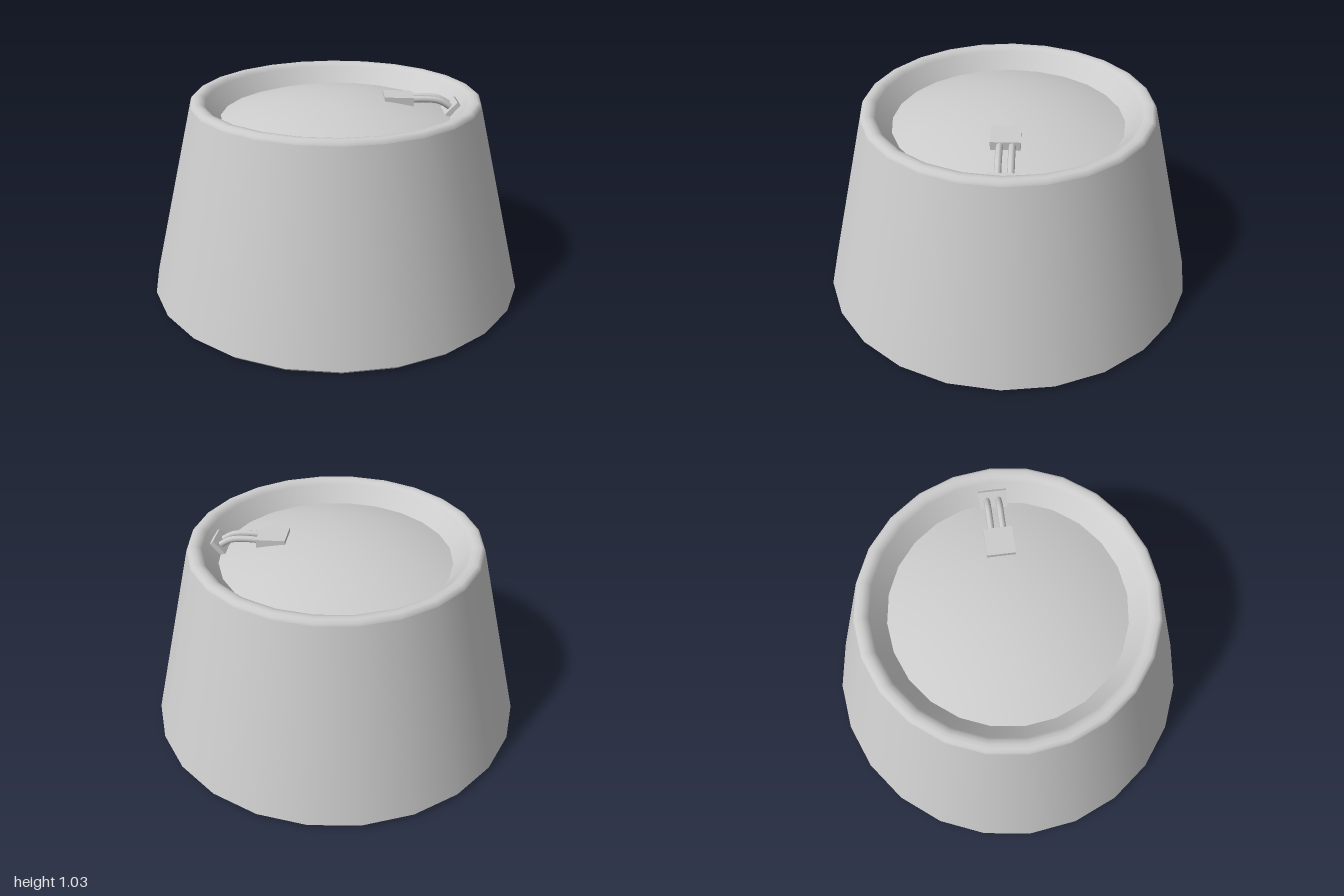
import * as THREE from 'three';

const SIDES = 24;

export function createModel() {
  const model = new THREE.Group();
  const grey = new THREE.MeshStandardMaterial({ color: 0xcccccc });
  grey.name = 'grey';

  const add = (parent, name, geometry) => {
    const mesh = new THREE.Mesh(geometry, grey);
    mesh.name = name;
    parent.add(mesh);
    return mesh;
  };
  const lathe = (points) =>
    new THREE.LatheGeometry(points.map(([r, y]) => new THREE.Vector2(r, y)), SIDES);

  // Tapered shell: recessed underside, bottom lip, outer wall, rounded top lip, recess
  add(model, 'bottomRecess', lathe([[0.8, 0.16], [0.92, 0.025]]));
  add(model, 'bottomLip', lathe([[0.92, 0.025], [0.932, 0.008], [0.955, 0], [0.98, 0], [1, 0.02]]));
  add(model, 'outerWall', lathe([[1, 0.02], [0.752, 1.012]]));
  add(model, 'topLip', lathe([
    [0.752, 1.012], [0.746, 1.026], [0.732, 1.035], [0.71, 1.035], [0.69, 1.03], [0.676, 1.015],
  ]));
  add(model, 'topRecess', lathe([[0.676, 1.015], [0.6, 0.928]]));

  // Domes closing both ends, bulging almost to the rims
  const dome = (radius, edgeY, apexY) => {
    const points = [];
    for (let i = 0; i <= 12; i++) {
      const t = i / 12;
      points.push([radius * t, apexY + (edgeY - apexY) * t * t]);
    }
    return apexY > edgeY ? points.reverse() : points;
  };
  add(model, 'topDome', lathe(dome(0.6, 0.928, 1.033)));
  add(model, 'bottomDome', lathe(dome(0.8, 0.16, 0.004)));

  // Wired connector: plug half sunk in the dome, two curved wires, socket on the recess wall
  const connector = (name) => {
    const group = new THREE.Group();
    group.name = name;
    const plug = add(group, 'plug', new THREE.BoxGeometry(0.15, 0.05, 0.145));
    plug.position.set(0.325, 1.006, 0);
    plug.rotation.z = -0.03;
    for (const z of [-0.033, 0.027]) {
      const path = new THREE.CatmullRomCurve3([
        new THREE.Vector3(0.38, 1.008, z),
        new THREE.Vector3(0.46, 1.01, z),
        new THREE.Vector3(0.54, 1.0, z),
        new THREE.Vector3(0.61, 0.958, z),
      ]);
      add(group, 'wire', new THREE.TubeGeometry(path, 10, 0.017, 8));
    }
    const socket = add(group, 'socket', new THREE.BoxGeometry(0.09, 0.03, 0.145));
    socket.position.set(0.605, 0.96, 0);
    socket.rotation.z = 0.82;
    model.add(group);
    return group;
  };
  connector('topConnector');
  const lower = connector('bottomConnector');
  lower.rotation.z = Math.PI;
  lower.scale.setScalar(4 / 3);
  lower.position.y = 1.385;

  return model;
}
